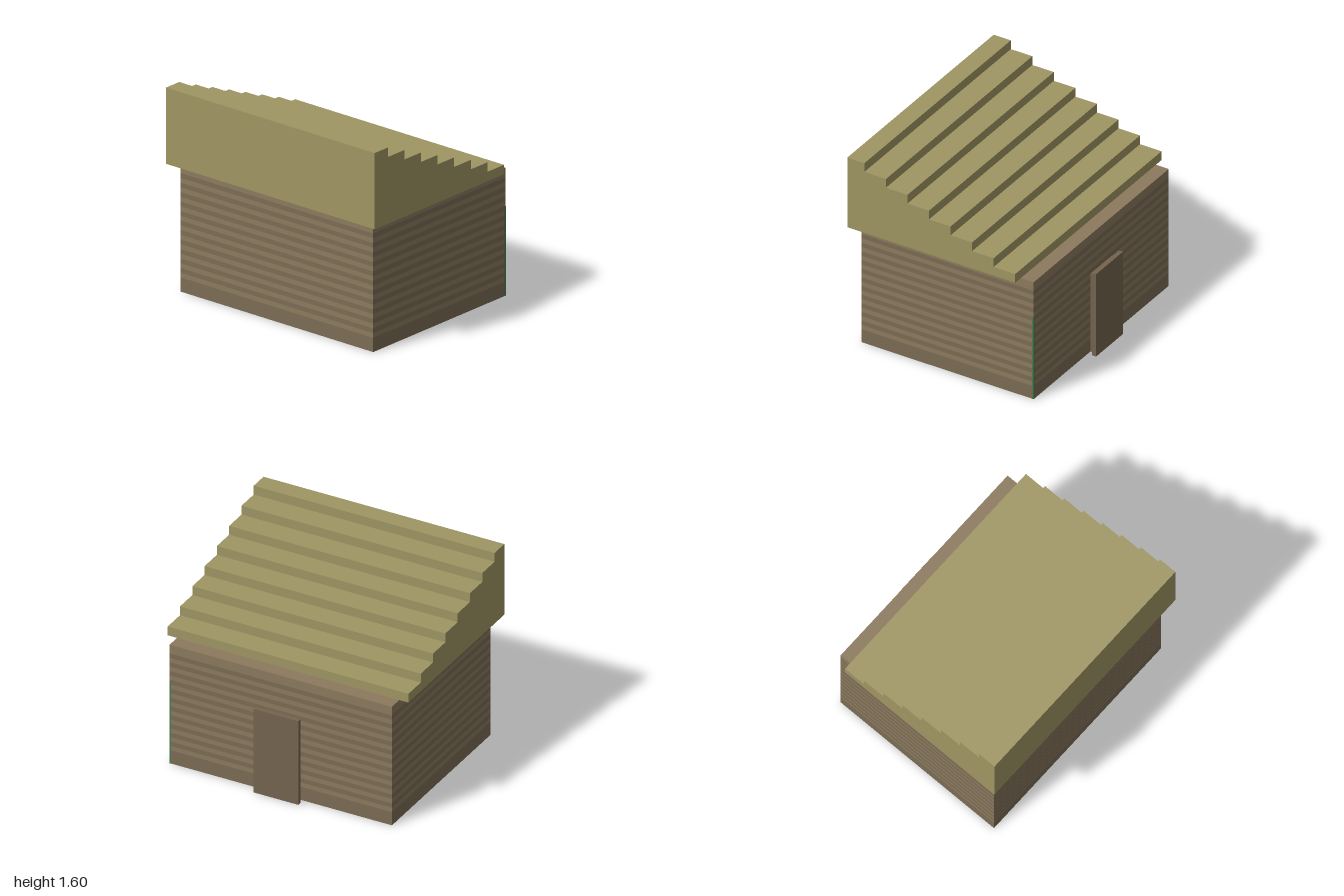
import * as THREE from 'three';

const paint = (color) => new THREE.MeshStandardMaterial({ color, flatShading: true });

export function createModel() {
  const model = new THREE.Group();
  const lightWood = paint(0x8c7a5e);
  const darkWood = paint(0x7b6c55);
  const thatch = paint(0xa09663);
  const doorWood = paint(0x75644e);
  const green = paint(0x4a7a50);

  // Box given by its centre in x and z, its bottom and its size
  function addBox(name, material, [w, h, d], [x, bottom, z], parent = model) {
    const mesh = new THREE.Mesh(new THREE.BoxGeometry(w, h, d), material);
    mesh.position.set(x, bottom + h / 2, z);
    mesh.name = name;
    parent.add(mesh);
  }

  // Walls: flush plank courses in alternating shades, thicker at foot and top
  const walls = new THREE.Group();
  walls.name = 'walls';
  model.add(walls);
  const unit = 1 / 27;
  const edges = [0];
  for (let i = 3; i <= 25; i++) edges.push(i);
  edges.push(27);
  for (let i = 0; i < edges.length - 1; i++) {
    const height = (edges[i + 1] - edges[i]) * unit;
    addBox('wallCourse', i % 2 ? lightWood : darkWood,
      [1.846, height, 1.48], [0, edges[i] * unit, 0], walls);
  }

  // Roof: stepped side profile (running from front to back) extruded across the width
  const steps = 8;
  const rise = 0.0745;
  const run = 0.185;
  const profile = new THREE.Shape();
  profile.moveTo(-0.812, 1);
  profile.lineTo(0.63, 1);
  for (let i = 0; i < steps; i++) {
    const y = 1 + rise * (i + 1);
    profile.lineTo(0.63 - run * i, y);
    profile.lineTo(i === steps - 1 ? -0.812 : 0.63 - run * (i + 1), y);
  }
  profile.closePath();
  const roofGeometry = new THREE.ExtrudeGeometry(profile, { depth: 2, bevelEnabled: false });
  roofGeometry.rotateY(Math.PI / 2);
  roofGeometry.translate(-1, 0, 0);
  const roof = new THREE.Mesh(roofGeometry, thatch);
  roof.name = 'steppedRoof';
  model.add(roof);

  // Door: narrower frame against the back wall, wider panel outside
  addBox('doorFrame', doorWood, [0.296, 0.667, 0.04], [0, 0, -0.758]);
  addBox('doorPanel', doorWood, [0.37, 0.704, 0.036], [0, 0, -0.794]);

  // Slim strip set into the back left corner
  addBox('cornerStrip', green, [0.014, 0.7, 0.014], [0.917, 0, -0.734]);

  return model;
}
